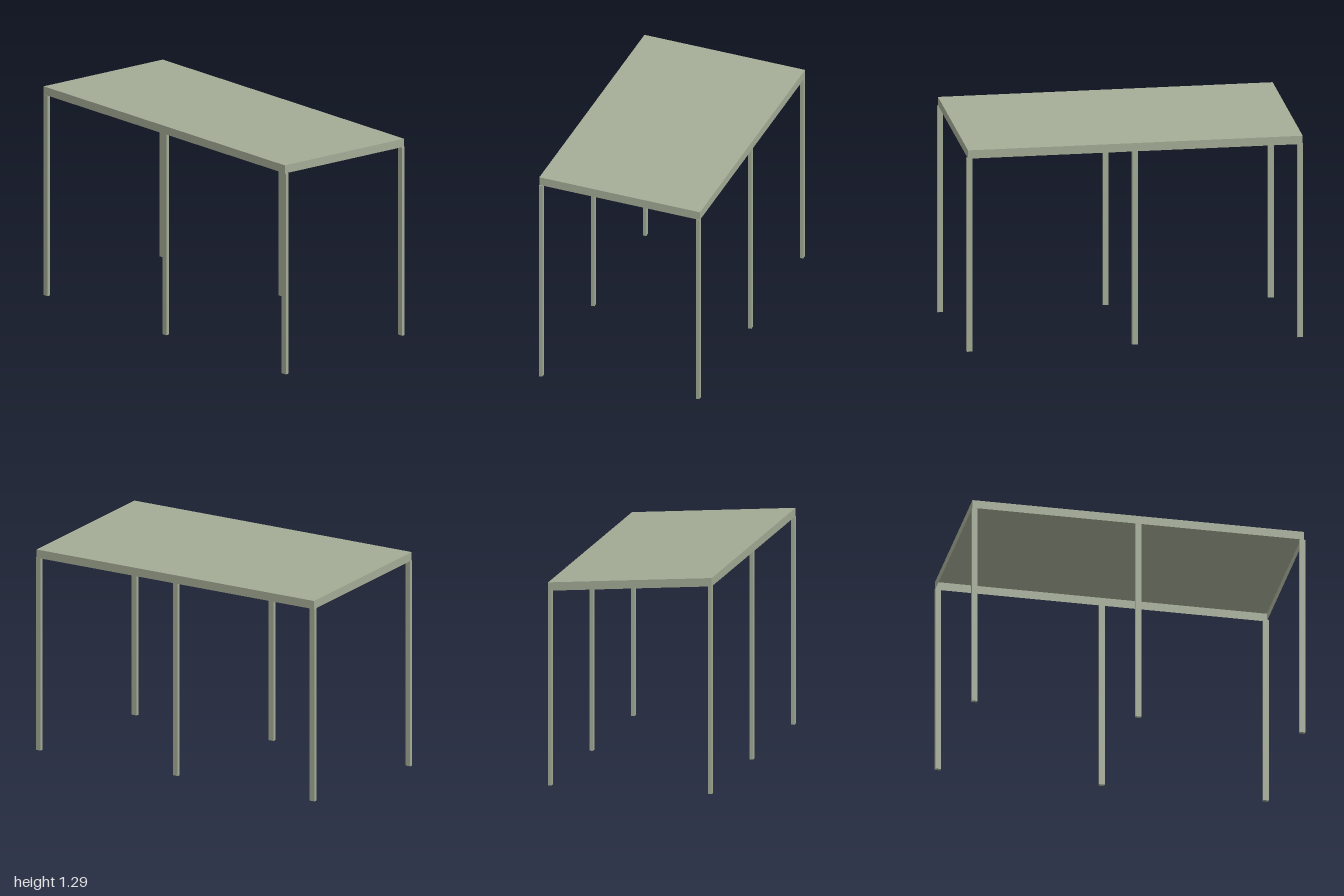
import * as THREE from 'three';

export function createModel() {
  const model = new THREE.Group();
  const paint = new THREE.MeshStandardMaterial({ color: 0xa3ab95, side: THREE.DoubleSide });
  paint.name = 'sage green';

  // Roof: a shallow tray, open underneath, sloping down to the back
  const width = 1.988, depth = 0.987, rim = 0.05, slope = 0.08;
  const roofGeo = new THREE.BoxGeometry(width, rim, depth);
  const index = Array.from(roofGeo.index.array);
  index.splice(18, 6); // leave out the bottom face
  roofGeo.setIndex(index);
  roofGeo.clearGroups();
  const pos = roofGeo.attributes.position;
  for (let i = 0; i < pos.count; i++) {
    pos.setY(i, pos.getY(i) + slope * pos.getZ(i));
  }
  roofGeo.computeVertexNormals();
  const roof = new THREE.Mesh(roofGeo, paint);
  roof.name = 'roof';
  roof.position.set(-0.003, 1.228, 0.001);
  model.add(roof);

  // Posts: three along the front, three shorter ones along the back
  const rows = [
    { name: 'frontPost', z: 0.484, height: 1.242 },
    { name: 'backPost', z: -0.481, height: 1.165 },
  ];
  for (const { name, z, height } of rows) {
    for (const x of [-0.983, -0.002, 0.981]) {
      const post = new THREE.Mesh(new THREE.BoxGeometry(0.034, height, 0.021), paint);
      post.name = name;
      post.position.set(x, height / 2, z);
      model.add(post);
    }
  }
  return model;
}
